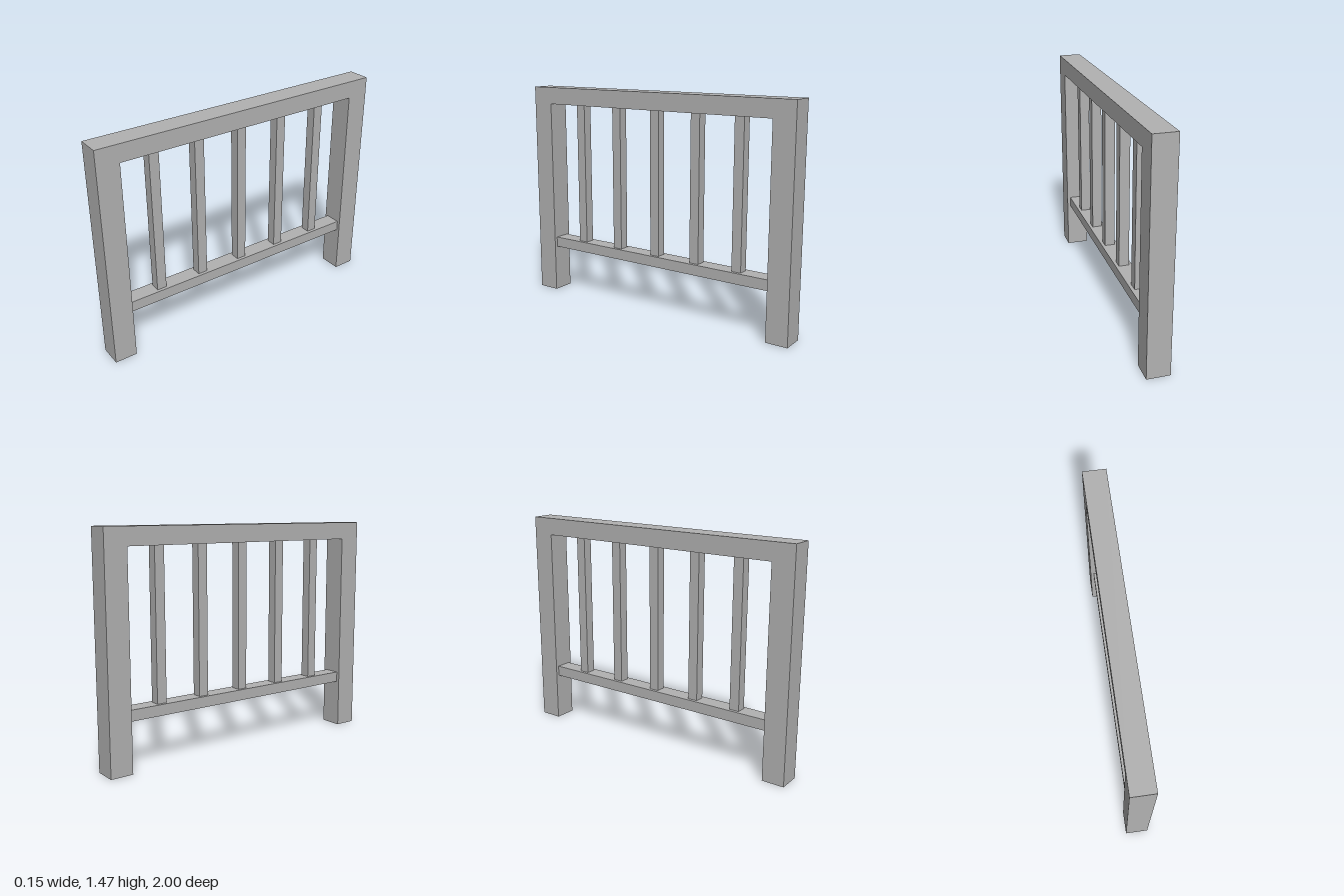
import * as THREE from 'three';

export function createModel() {
  const group = new THREE.Group();
  group.name = 'railing';
  const grey = new THREE.MeshStandardMaterial({ color: 0xb2b2b2 });
  grey.name = 'grey';

  const H = 1.467, inner = 0.853, railBottom = 1.353;
  const lowBottom = 0.32, lowTop = 0.39, depth = 0.15;

  function add(name, geometry, y = 0, z = 0) {
    const mesh = new THREE.Mesh(geometry, grey);
    mesh.name = name;
    mesh.position.set(0, y, z);
    group.add(mesh);
  }

  // Two posts and the top rail as one continuous frame
  const outline = [
    [-1, 0], [-inner, 0], [-inner, railBottom], [inner, railBottom],
    [inner, 0], [1, 0], [1, H], [-1, H],
  ].map(([z, y]) => new THREE.Vector2(z, y));
  const frame = new THREE.ExtrudeGeometry(new THREE.Shape(outline), { depth, bevelEnabled: false });
  frame.translate(0, 0, -depth / 2).rotateY(-Math.PI / 2);
  add('postsAndTopRail', frame);

  // Lower rail between the posts
  add('lowerRail', new THREE.BoxGeometry(0.107, lowTop - lowBottom, inner * 2), (lowTop + lowBottom) / 2);

  // Five evenly spaced balusters
  const baluster = new THREE.BoxGeometry(0.065, railBottom - lowTop, 0.065);
  for (let i = -2; i <= 2; i++) {
    add(`baluster${i + 3}`, baluster, (railBottom + lowTop) / 2, i * 0.309);
  }
  return group;
}
